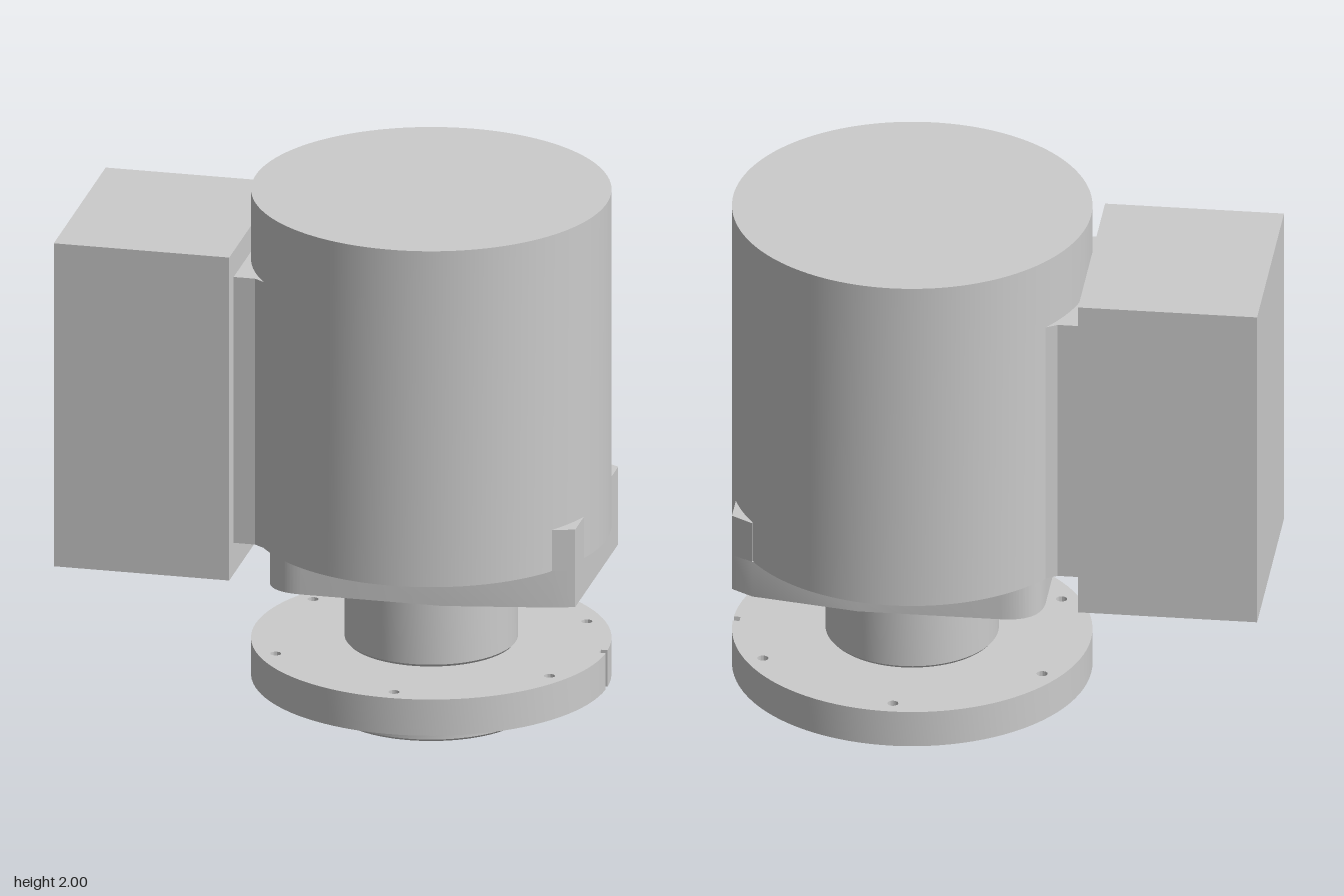
import * as THREE from 'three';
import { toCreasedNormals } from 'three/addons/utils/BufferGeometryUtils.js';

const AXIS_X = 0.325; // vertical axis of all the turned parts

export function createModel() {
  const model = new THREE.Group();
  const material = new THREE.MeshStandardMaterial({ color: 0xcccccc });

  const add = (name, geometry, x = 0, y = 0, z = 0) => {
    const mesh = new THREE.Mesh(geometry, material);
    mesh.name = name;
    mesh.position.set(x, y, z);
    model.add(mesh);
  };

  // Plan outline (drawn as x, -z) raised from y0 to y1
  const slab = (shape, y0, y1) => {
    const g = new THREE.ExtrudeGeometry(shape, { depth: y1 - y0, bevelEnabled: false, curveSegments: 48 });
    g.rotateX(-Math.PI / 2).translate(0, y0, 0);
    return toCreasedNormals(g, 0.5);
  };
  const outline = (points) => new THREE.Shape(points.map(([x, z]) => new THREE.Vector2(x, -z)));
  const lathe = (points) => toCreasedNormals(
    new THREE.LatheGeometry(points.map(([r, y]) => new THREE.Vector2(r, y)), 96), 0.5);

  const hole = (shape, x, y, r) => shape.holes.push(new THREE.Path().absarc(x, y, r, 0, Math.PI * 2, true));
  const holeCircle = (shape, cx, count, startDeg, radius, r) => {
    for (let i = 0; i < count; i++) {
      const a = THREE.MathUtils.degToRad(startDeg + (i * 360) / count);
      hole(shape, cx + radius * Math.cos(a), radius * Math.sin(a), r);
    }
  };

  // Motor body
  add('body', toCreasedNormals(new THREE.CylinderGeometry(0.655, 0.655, 1.3, 128), 0.5), AXIS_X, 1.35, 0);

  // Side box and the flared bracket joining it to the body
  add('sideBox', new THREE.BoxGeometry(0.655, 1.25, 0.82), -0.6575, 1.205, 0.01);
  add('sideBracket', slab(outline([
    [-0.34, 0.35], [-0.25, 0.35], [-0.2, 0.385], [0, 0.385],
    [0, -0.385], [-0.2, -0.385], [-0.25, -0.355], [-0.34, -0.355],
  ]), 0.701, 1.73));

  // Mounting plate under the body, with bolt holes
  const plate = new THREE.Shape();
  plate.moveTo(0.945, -0.35);
  plate.lineTo(0.945, 0.33);
  plate.lineTo(0.865, 0.38);
  plate.lineTo(0.47, 0.45);
  plate.lineTo(-0.05, 0.45);
  plate.quadraticCurveTo(-0.2, 0.45, -0.2, 0.3);
  plate.lineTo(-0.2, -0.3);
  plate.quadraticCurveTo(-0.2, -0.45, -0.05, -0.45);
  plate.lineTo(0.47, -0.45);
  plate.lineTo(0.865, -0.375);
  holeCircle(plate, AXIS_X, 4, 45, 0.5, 0.033);
  holeCircle(plate, AXIS_X, 8, 22.5, 0.42, 0.014);
  add('mountingPlate', slab(plate, 0.56, 0.702));

  // Two upright lugs clasping the body
  add('frontLug', slab(outline([[0.865, 0.375], [0.945, 0.35], [0.945, 0.18], [0.865, 0.18]]), 0.7, 0.86));
  add('backLug', slab(outline([[0.865, -0.18], [0.945, -0.18], [0.945, -0.33], [0.865, -0.38]]), 0.7, 0.86));

  // Neck with a blind bore and chamfered lower edge
  add('neck', lathe([[0, 0.4], [0.17, 0.4], [0.17, 0.26], [0.302, 0.26], [0.315, 0.275], [0.315, 0.565]]), AXIS_X);

  // Flange with six holes and an alignment slot
  const flange = new THREE.Shape();
  const slotAngle = Math.asin(0.016 / 0.655);
  flange.absarc(0, 0, 0.655, slotAngle, Math.PI * 2 - slotAngle, false);
  flange.lineTo(0.63, -0.016);
  flange.lineTo(0.63, 0.016);
  holeCircle(flange, 0, 6, 30, 0.59, 0.02);
  hole(flange, 0, 0, 0.17);
  add('flange', slab(flange, 0.125, 0.265), AXIS_X);

  // Locating rim under the flange, and the drilled disc recessed inside it
  add('locatingRim', lathe([
    [0.335, 0.06], [0.335, 0.02], [0.352, 0], [0.37, 0], [0.377, 0.008], [0.377, 0.11], [0.382, 0.12], [0.392, 0.126],
  ]), AXIS_X);
  const disc = new THREE.Shape().absarc(0, 0, 0.345, 0, Math.PI * 2, false);
  hole(disc, 0, 0, 0.17);
  holeCircle(disc, 0, 4, 45, 0.27, 0.03);
  add('recessedDisc', slab(disc, 0.055, 0.126), AXIS_X);

  return model;
}
